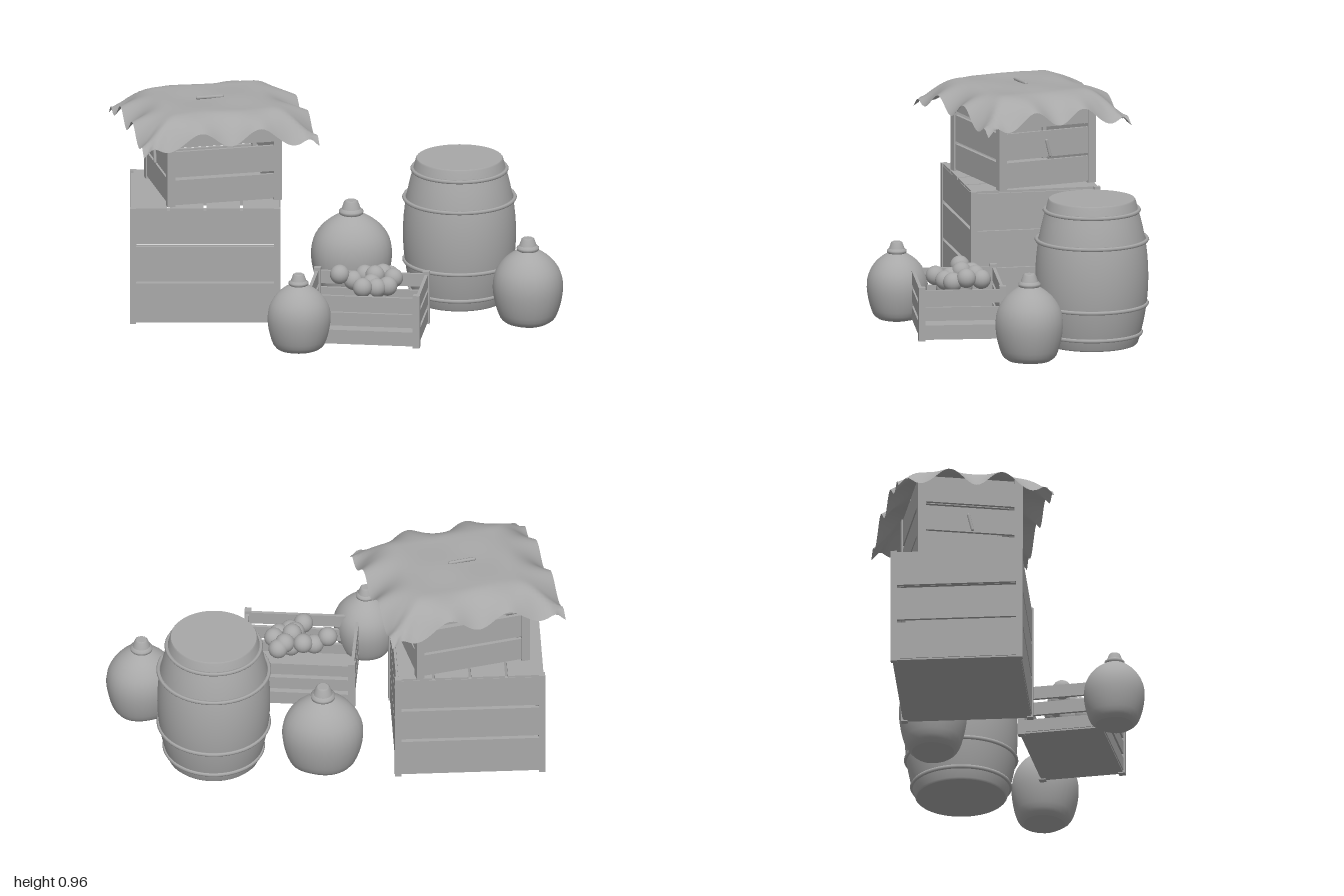
import * as THREE from 'three';

const clay = new THREE.MeshStandardMaterial({ color: 0xa8a8a8, side: THREE.DoubleSide });
clay.name = 'clay grey';

function add(parent, name, geo, x = 0, y = 0, z = 0) {
  const m = new THREE.Mesh(geo, clay);
  m.name = name;
  m.position.set(x, y, z);
  parent.add(m);
  return m;
}
const box = (p, name, w, h, d, x, y, z) => add(p, name, new THREE.BoxGeometry(w, h, d), x, y, z);

// Slatted crate standing on its local y = 0; rows are [bottom, top] heights of the slats
function crate(name, w, d, h, post, rows, lidPlanks = 0) {
  const g = new THREE.Group();
  g.name = name;
  const t = 0.014, px = w / 2 - post / 2, pz = d / 2 - post / 2;
  for (const s of [-1, 1]) {
    for (const q of [-1, 1]) box(g, 'cornerPost', post, h, post, s * px, h / 2, q * pz);
    for (const [a, b] of rows) {
      box(g, 'longSlat', w - post, b - a, t, 0, (a + b) / 2, s * (d / 2 - t / 2 - 0.006));
      box(g, 'sideSlat', t, b - a, d - post, s * (w / 2 - t / 2 - 0.006), (a + b) / 2, 0);
    }
  }
  box(g, 'floor', w - 0.02, 0.014, d - 0.02, 0, 0.012, 0);
  const pitch = (w - 0.02) / Math.max(lidPlanks, 1);
  for (let i = 0; i < lidPlanks; i++)
    box(g, 'lidPlank', pitch - 0.012, 0.016, d - 0.015, -w / 2 + 0.01 + pitch * (i + 0.5), h - 0.008, 0);
  return g;
}

// Repeated points give a crisp edge on the lathe
const lathe = (pts, n) => new THREE.LatheGeometry(pts.map(([r, y]) => new THREE.Vector2(r, y)), n);

function barrel() {
  const g = new THREE.Group();
  g.name = 'barrel';
  const pts = [[0, 0.008], [0.195, 0.008], [0.195, 0.008]];
  for (let i = 0; i <= 14; i++) {
    const k = i / 14, s = 2 * k - 1;
    pts.push([0.248 - 0.046 * s * s, 0.015 + 0.595 * k]);
  }
  pts.push([0.202, 0.61], [0.192, 0.65], [0.188, 0.656], [0.188, 0.656], [0, 0.656]);
  add(g, 'barrelBody', lathe(pts, 48));
  for (const [r, y] of [[0.213, 0.06], [0.239, 0.19], [0.24, 0.475], [0.204, 0.606]]) {
    const hoop = add(g, 'barrelHoop', new THREE.TorusGeometry(r + 0.003, 0.009, 6, 48), 0, y, 0);
    hoop.rotation.x = Math.PI / 2;
  }
  return g;
}

// Squat jug with a collar and stopper, slightly uneven like a sack
function jug(sx, sy, sz, phase) {
  const g = new THREE.Group();
  g.name = 'jug';
  const body = new THREE.SplineCurve([[0.085, 0.008], [0.11, 0.03], [0.13, 0.09], [0.138, 0.155],
    [0.128, 0.21], [0.1, 0.255], [0.065, 0.285], [0.035, 0.302]].map(p => new THREE.Vector2(...p)))
    .getPoints(20).map(p => [p.x, p.y]);
  const geo = lathe([[0, 0.008], [0.085, 0.008], ...body], 28);
  const p = geo.attributes.position;
  for (let i = 0; i < p.count; i++) {
    const x = p.getX(i), z = p.getZ(i), a = Math.atan2(z, x);
    const k = 1 + 0.025 * Math.sin(3 * a + phase) + 0.015 * Math.sin(5 * a + phase * 2);
    p.setX(i, x * k);
    p.setZ(i, z * k);
  }
  add(g, 'jugBody', geo);
  const n = add(g, 'jugNeck', lathe([[0.034, 0.295], [0.043, 0.302], [0.044, 0.312], [0.034, 0.32], [0.034, 0.32],
    [0.025, 0.346], [0.02, 0.35], [0.02, 0.35], [0, 0.35]], 20));
  n.scale.set(1 / sx * sy, 1, 1 / sz * sy);
  g.scale.set(sx, sy, sz);
  return g;
}

// Cloth draped over the upper crate, with a rippling hem
function cloth() {
  const W = 0.79, D = 0.69;
  const geo = new THREE.PlaneGeometry(W, D, 48, 44).rotateX(-Math.PI / 2);
  const p = geo.attributes.position;
  for (let i = 0; i < p.count; i++) {
    const u = p.getX(i), v = p.getZ(i);
    const du = Math.max(0, Math.abs(u) - 0.21) / (W / 2 - 0.21);
    const dv = Math.max(0, Math.abs(v) - 0.19) / (D / 2 - 0.19);
    const e = Math.min(1.35, Math.hypot(du, dv));
    const along = du > dv ? v / D : u / W;
    const blend = Math.min(1, Math.abs(du - dv) * 3);
    const wave = 0.034 * Math.cos(along * Math.PI * 6) * blend * e * e;
    p.setY(i, 0.958 - 0.085 * Math.pow(e, 1.8) - wave + 0.003 * Math.sin(u * 17) * Math.cos(v * 19));
  }
  geo.computeVertexNormals();
  return geo;
}

export function createModel() {
  const model = new THREE.Group();
  model.name = 'marketGoods';
  const place = (o, x, y, z, ry = 0) => {
    o.position.set(x, y, z);
    o.rotation.y = ry;
    model.add(o);
    return o;
  };

  // Stacked crates under the cloth
  place(crate('largeCrate', 0.66, 0.58, 0.53, 0.028, [[0.012, 0.185], [0.2, 0.352], [0.367, 0.52]], 4),
    -0.58, 0.008, -0.175);
  const turn = 0.225;
  const upper = place(crate('upperCrate', 0.515, 0.465, 0.395, 0.036,
    [[0.012, 0.12], [0.133, 0.25], [0.268, 0.38]], 4), -0.545, 0.54, -0.18, turn);
  for (const s of [-1, 1]) {
    const peg = add(upper, 'sidePeg', new THREE.CapsuleGeometry(0.007, 0.07, 4, 8), s * 0.262, 0.175, 0);
    peg.rotation.x = s * 0.25;
  }
  const cover = new THREE.Group();
  cover.name = 'clothCover';
  add(cover, 'cloth', cloth());
  const peg = add(cover, 'topPeg', new THREE.CapsuleGeometry(0.008, 0.11, 4, 8), -0.02, 0.962, 0);
  peg.rotation.z = Math.PI / 2;
  place(cover, -0.54, 0, -0.175, turn);

  // Open crate of round fruit
  place(crate('fruitCrate', 0.51, 0.385, 0.24, 0.03, [[0.012, 0.07], [0.09, 0.15], [0.168, 0.226]]),
    0.13, 0.01, 0.255, -0.12);
  const fruits = [[0.01, 0.27, 0.22], [0.07, 0.24, 0.21], [0.12, 0.26, 0.19], [0.2, 0.265, 0.19], [0.23, 0.25, 0.17],
    [0.245, 0.26, 0.24], [0.165, 0.275, 0.245], [0.15, 0.25, 0.29], [0.22, 0.24, 0.295], [0.11, 0.25, 0.35],
    [0.17, 0.24, 0.32], [0.17, 0.21, 0.24], [0.14, 0.2, 0.31]];
  for (const [x, y, z] of fruits) add(model, 'fruit', new THREE.SphereGeometry(0.043, 18, 12), x, y, z);

  place(barrel(), 0.535, 0, -0.262);

  // Three jugs around the goods
  place(jug(1.0, 1.0, 0.97, 0.4), -0.17, 0, 0.465);
  place(jug(1.29, 1.23, 1.08, 2.1), 0.06, 0, -0.35);
  place(jug(1.12, 1.125, 1.07, 3.6), 0.835, 0, 0.08);
  return model;
}
